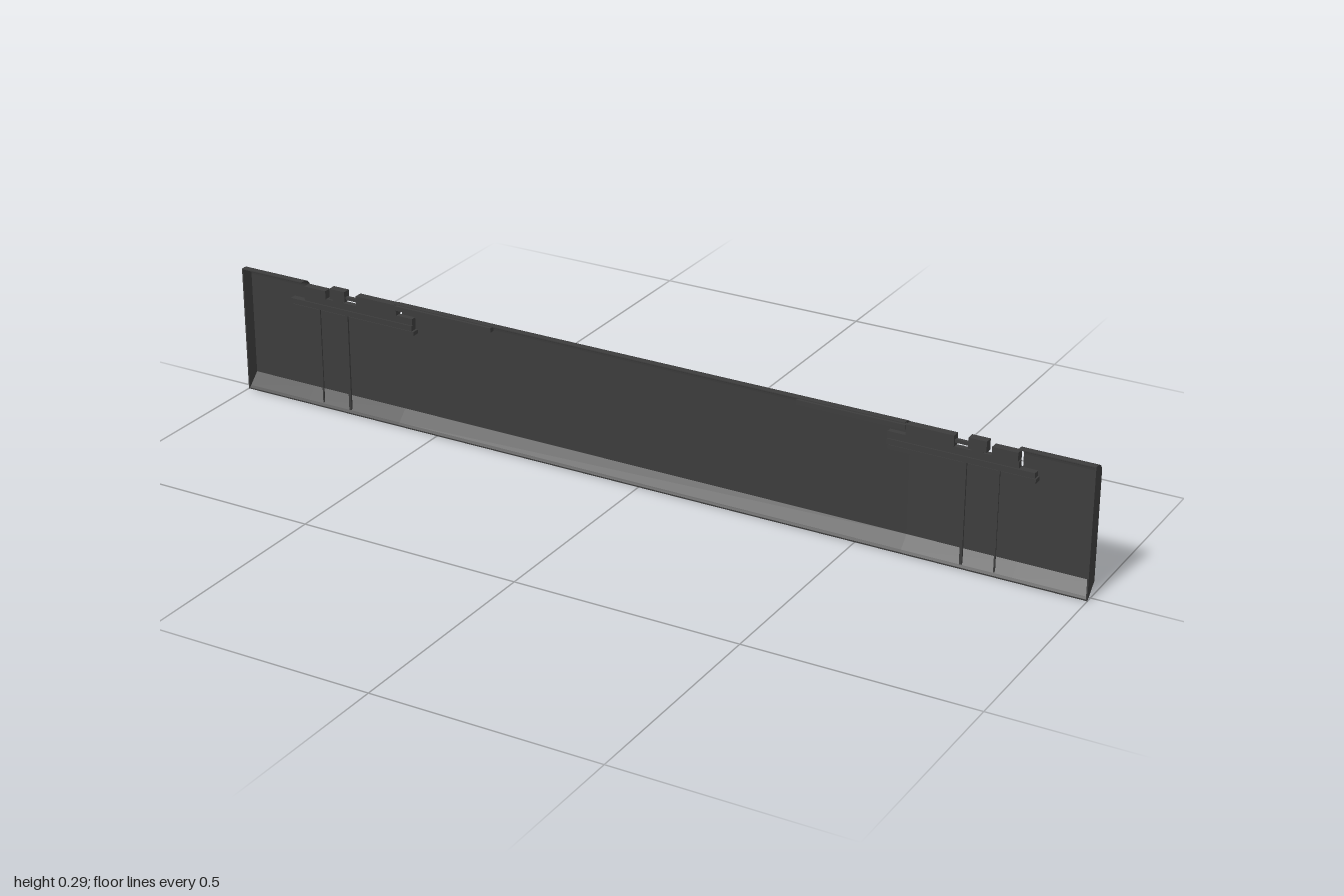
import * as THREE from 'three';

const material = new THREE.MeshStandardMaterial({ color: 0x3c3c3c, side: THREE.DoubleSide });

// Extrudes a [z, y] cross-section along x from x0 to x1.
function sweep(name, points, x0, x1) {
  const shape = new THREE.Shape(points.map(([z, y]) => new THREE.Vector2(z, y)));
  const geometry = new THREE.ExtrudeGeometry(shape, { depth: x1 - x0, bevelEnabled: false });
  geometry.rotateY(-Math.PI / 2);
  geometry.translate(x1, 0, 0);
  const mesh = new THREE.Mesh(geometry, material);
  mesh.name = name;
  return mesh;
}

// Box given by its limits; side = -1 mirrors it in x.
function box(name, side, [x0, x1], [y0, y1], [z0, z1]) {
  const mesh = new THREE.Mesh(new THREE.BoxGeometry(x1 - x0, y1 - y0, z1 - z0), material);
  mesh.position.set(side * (x0 + x1) / 2, (y0 + y1) / 2, (z0 + z1) / 2);
  mesh.name = name;
  return mesh;
}

// Quarter round of the top back edge, from the top to the back.
function topCurve(radius) {
  const points = [];
  for (let i = 0; i <= 8; i++) {
    const a = Math.PI / 2 * (1 + i / 8);
    points.push([0.007 + radius * Math.cos(a), 0.265 + radius * Math.sin(a)]);
  }
  return points;
}

export function createModel() {
  const model = new THREE.Group();
  model.name = 'panel';

  // Thin shell open to the front: rounded top, flat back, sloped bottom
  const outerTop = [[0.016, 0.287], ...topCurve(0.022)];
  const innerTop = [[0.016, 0.285], ...topCurve(0.02)].reverse();
  const outerBottom = [[-0.015, 0.03], [0.01, 0.005], [0.016, 0]];
  const innerBottom = [[0.016, 0.003], [0.011, 0.007], [-0.013, 0.031]];
  const full = [...outerTop, ...outerBottom, ...innerBottom, ...innerTop];
  const notched = [[-0.015, 0.238], ...outerBottom, ...innerBottom, [-0.013, 0.238]];

  model.add(sweep('middleShell', full, -0.6, 0.6));
  for (const [x0, x1] of [[-1, -0.84], [0.84, 1]]) model.add(sweep('endShell', full, x0, x1));
  for (const [x0, x1] of [[-0.84, -0.6], [0.6, 0.84]]) model.add(sweep('notchShell', notched, x0, x1));

  // End caps fill the whole cross-section
  const solid = [...outerTop, ...outerBottom];
  model.add(sweep('endCap', solid, -1, -0.997), sweep('endCap', solid, 0.997, 1));

  for (const side of [-1, 1]) {
    // Clip mechanism in the notch
    const clip = new THREE.Group();
    clip.name = 'clip';
    clip.add(
      box('upperRail', side, [0.56, 0.84], [0.242, 0.257], [-0.004, 0.008]),
      box('middleRail', side, [0.56, 0.875], [0.23, 0.242], [-0.004, 0.011]),
      box('lowerRail', side, [0.56, 0.875], [0.217, 0.226], [-0.013, 0.005]),
      box('outerBlock', side, [0.783, 0.838], [0.257, 0.276], [-0.008, 0.01]),
      box('latch', side, [0.733, 0.772], [0.26, 0.284], [-0.008, 0.01]),
      box('latchFoot', side, [0.74, 0.765], [0.254, 0.262], [-0.004, 0.008]),
      box('link', side, [0.7, 0.733], [0.264, 0.271], [-0.003, 0.005]),
      box('innerBlock', side, [0.6, 0.703], [0.257, 0.281], [-0.008, 0.01])
    );
    model.add(clip);

    // Reinforcing strip under the top edge
    model.add(box('topStrip', side, [0.36, 0.6], [0.27, 0.28], [0, 0.012]));

    // Thin vertical ribs below the clip
    model.add(box('wideRib', side, [0.726, 0.732], [0.004, 0.23], [0.007, 0.011]));
    model.add(box('narrowRib', side, [0.799, 0.802], [0.004, 0.23], [0.007, 0.01]));
  }
  return model;
}
